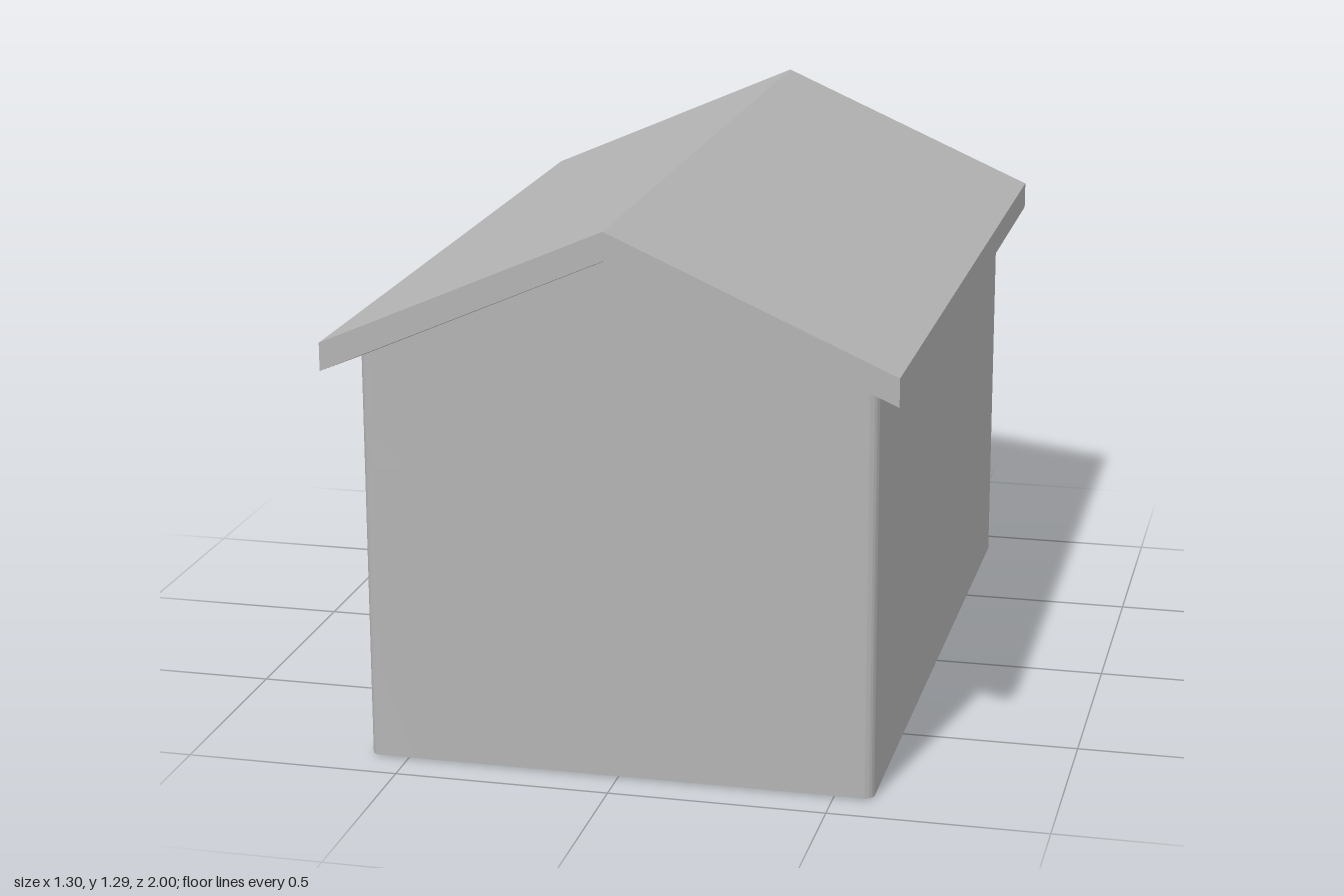
import * as THREE from 'three';
import { toCreasedNormals } from 'three/addons/utils/BufferGeometryUtils.js';

const HALF_W = 0.59, HALF_D = 0.91, CORNER = 0.025;
const DOOR = { left: 0.435, right: -0.415, top: 0.7, floorZ: 0.87, faceZ: 0.888 };

// Rounded wall outline seen from above; the second axis points to the back.
function footprint(notched) {
  const s = new THREE.Shape(), w = HALF_W, d = HALF_D, r = CORNER;
  s.moveTo(0, -d);
  s.lineTo(w - r, -d);
  s.absarc(w - r, -d + r, r, -Math.PI / 2, 0);
  s.lineTo(w, d - r);
  s.absarc(w - r, d - r, r, 0, Math.PI / 2);
  if (notched) {
    s.lineTo(DOOR.left, d);
    s.lineTo(DOOR.left, DOOR.floorZ);
    s.lineTo(DOOR.right, DOOR.floorZ);
    s.lineTo(DOOR.right, d);
  } else s.lineTo(0, d);
  s.lineTo(-w + r, d);
  s.absarc(-w + r, d - r, r, Math.PI / 2, Math.PI);
  s.lineTo(-w, -d + r);
  s.absarc(-w + r, -d + r, r, Math.PI, Math.PI * 1.5);
  s.closePath();
  return s;
}

function wallGeometry(notched, y0, y1) {
  const g = new THREE.ExtrudeGeometry(footprint(notched), { depth: y1 - y0, bevelEnabled: false, curveSegments: 8 });
  return g.rotateX(-Math.PI / 2).translate(0, y0, 0);
}

function rect(target, x0, y0, x1, y1) {
  target.moveTo(x0, y0);
  target.lineTo(x1, y0);
  target.lineTo(x1, y1);
  target.lineTo(x0, y1);
  target.closePath();
  return target;
}

// Flat plate with rectangular openings, its back at z = 0.
function plate(outer, holes, depth) {
  const s = rect(new THREE.Shape(), ...outer);
  holes.forEach(h => s.holes.push(rect(new THREE.Path(), ...h)));
  return new THREE.ExtrudeGeometry(s, { depth, bevelEnabled: false });
}

export function createModel() {
  const model = new THREE.Group();
  model.name = 'shed';
  const grey = new THREE.MeshStandardMaterial({ color: 0xb4b4b4 });
  grey.name = 'grey';
  const add = (parent, name, geometry, x = 0, y = 0, z = 0) => {
    const m = new THREE.Mesh(geometry, grey);
    m.name = name;
    m.position.set(x, y, z);
    parent.add(m);
    return m;
  };

  // Walls: lower part with the doorway, upper part raised into gables
  add(model, 'lowerWalls', toCreasedNormals(wallGeometry(true, 0.004, DOOR.top), 0.6));
  const upper = wallGeometry(false, DOOR.top, 0.95);
  const p = upper.attributes.position;
  for (let i = 0; i < p.count; i++) {
    if (p.getY(i) > 0.9) p.setY(i, 1.217 - 0.439 * Math.abs(p.getX(i)));
  }
  add(model, 'upperWalls', toCreasedNormals(upper, 0.6));

  // Roof slab
  const profile = new THREE.Shape([
    [0, 1.295], [-0.65, 1.01], [-0.65, 0.945], [0, 1.23], [0.65, 0.945], [0.65, 1.01],
  ].map(a => new THREE.Vector2(...a)));
  add(model, 'roof', new THREE.ExtrudeGeometry(profile, { depth: 2, bevelEnabled: false }), 0, 0, -1);

  // Soffit: sloping ring from the roof edge to the top of the walls
  const ring = [[0, 1], [1, 1], [1, -1], [0, -1], [-1, -1], [-1, 1]];
  const outer = ring.map(([x, z]) => [x * 0.65, x ? 0.945 : 1.23, z]);
  const inner = ring.map(([x, z]) => [x * HALF_W, x ? 0.958 : 1.217, z * HALF_D]);
  const pos = [];
  ring.forEach((_, i) => {
    const j = (i + 1) % ring.length;
    const [a, b, c, d] = [outer[i], inner[i], inner[j], outer[j]];
    pos.push(...a, ...b, ...c, ...a, ...c, ...d);
  });
  const soffit = new THREE.BufferGeometry();
  soffit.setAttribute('position', new THREE.Float32BufferAttribute(pos, 3));
  soffit.computeVertexNormals();
  add(model, 'soffit', soffit);

  // Double doors, built facing +z and turned to the back
  const back = new THREE.Group();
  back.name = 'backFittings';
  back.rotation.y = Math.PI;
  model.add(back);
  const doors = new THREE.Group();
  doors.name = 'doubleDoors';
  doors.position.set(-(DOOR.left + DOOR.right) / 2, 0, DOOR.floorZ);
  back.add(doors);
  const leafW = (DOOR.left - DOOR.right) / 2, thick = DOOR.faceZ - DOOR.floorZ;
  const panels = [[0.09, 0.075, 0.345, 0.185], [0.09, 0.245, 0.345, 0.66]];
  const handle = new THREE.LatheGeometry([
    [0, -0.075], [0.009, -0.072], [0.013, -0.064], [0.009, -0.054], [0.006, -0.046],
    [0.009, 0], [0.006, 0.046], [0.009, 0.054], [0.013, 0.064], [0.009, 0.072], [0, 0.075],
  ].map(a => new THREE.Vector2(...a)), 16);
  for (const s of [-1, 1]) {
    const leaf = new THREE.Group();
    leaf.name = s < 0 ? 'leftDoor' : 'rightDoor';
    doors.add(leaf);
    const flip = ([x0, y0, x1, y1]) => s > 0 ? [x0, y0, x1, y1] : [-x1, y0, -x0, y1];
    add(leaf, 'doorFrame', plate(flip([0, 0, leafW, DOOR.top]), panels.map(flip), thick));
    // Vertical boards with narrow grooves inside each panel
    for (const [x0, y0, x1, y1] of panels) {
      const n = 10, step = (x1 - x0) / n;
      for (let i = 0; i < n; i++) {
        add(leaf, 'panelBoard', new THREE.BoxGeometry(step - 0.005, y1 - y0, 0.014),
          s * (x0 + step * (i + 0.5)), (y0 + y1) / 2, 0.007);
      }
    }
    add(leaf, 'doorHandle', handle, s * 0.032, 0.28, thick + 0.01);
  }

  // Gable window with four panes
  const panes = [];
  for (const x of [-0.112, 0.006]) {
    for (const y of [0.812, 0.906]) panes.push([x, y, x + 0.106, y + 0.082]);
  }
  add(back, 'gableWindow', plate([-0.125, 0.8, 0.125, 1.0], panes, 0.009), 0, 0, HALF_D);

  return model;
}
